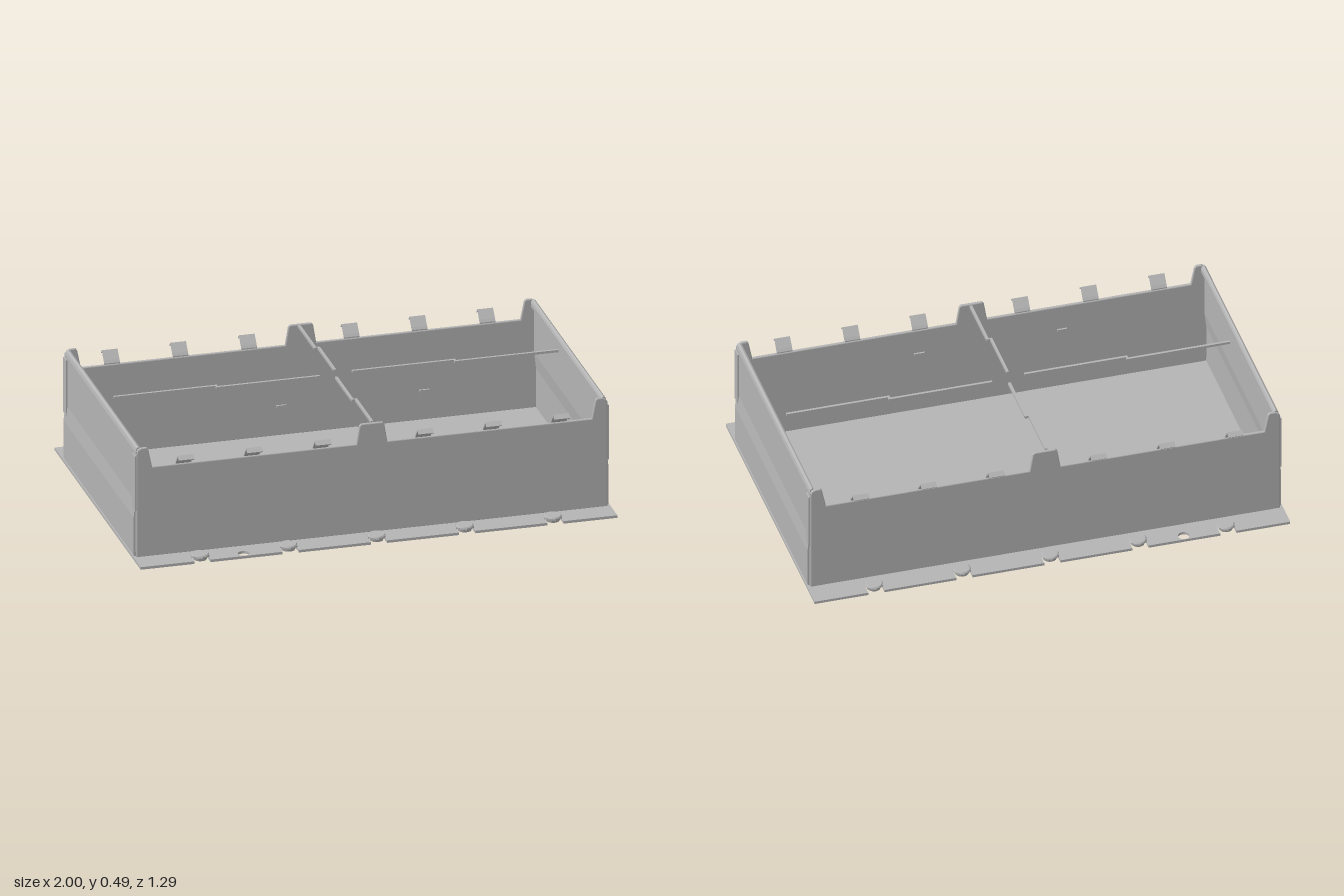
import * as THREE from 'three';

export function createModel() {
  const model = new THREE.Group();
  const metal = new THREE.MeshStandardMaterial({ color: 0xb4b4b4, side: THREE.DoubleSide, flatShading: true });
  metal.name = 'sheetMetalGrey';

  function add(name, geometry, x = 0, y = 0, z = 0) {
    const mesh = new THREE.Mesh(geometry, metal);
    mesh.name = name;
    mesh.position.set(x, y, z);
    model.add(mesh);
    return mesh;
  }
  const box = (name, w, h, d, x, y, z) => add(name, new THREE.BoxGeometry(w, h, d), x, y, z);
  const polygon = (points) => new THREE.Shape(points.map(([x, y]) => new THREE.Vector2(x, y)));
  const boltXs = [-0.74, -0.37, 0, 0.37, 0.74];
  const clipXs = [-0.79, -0.503, -0.215, 0.215, 0.5, 0.785];

  // Base plate with flanges, keyhole notches around the bolts and two round holes
  const r = 0.034, edge = 0.645, boltZ = 0.605;
  const base = new THREE.Shape();
  base.moveTo(-1, -edge);
  for (const x of boltXs) {
    base.lineTo(x - r, -edge);
    base.absarc(x, -boltZ, r, Math.PI, 0, true);
    base.lineTo(x + r, -edge);
  }
  base.lineTo(1, -edge);
  base.lineTo(1, edge);
  for (const x of [...boltXs].reverse()) {
    base.lineTo(x + r, edge);
    base.absarc(x, boltZ, r, 0, Math.PI, true);
    base.lineTo(x - r, edge);
  }
  base.lineTo(-1, edge);
  for (const s of [-1, 1]) {
    base.holes.push(new THREE.Path().absarc(-0.56, s * 0.618, 0.024, 0, Math.PI * 2, true));
  }
  const baseGeometry = new THREE.ExtrudeGeometry(base, { depth: 0.011, bevelEnabled: false, curveSegments: 12 });
  baseGeometry.rotateX(Math.PI / 2).translate(0, 0.011, 0);
  add('basePlate', baseGeometry);

  // Long walls: low rim with a raised centre tab and rounded corner tabs
  const half = [[0.065, 0.4], [0.922, 0.4], [0.938, 0.478], [0.945, 0.486], [0.968, 0.486],
    [0.982, 0.478], [0.988, 0.46], [0.988, 0.008]];
  const centre = [[0.052, 0.478], [0.045, 0.486]];
  const rightSide = [...centre.slice().reverse(), ...half];
  const mirrored = rightSide.map(([x, y]) => [-x, y]).reverse();
  const wallShape = polygon([...rightSide, ...mirrored]);
  for (const s of [-1, 1]) {
    const wall = new THREE.ExtrudeGeometry(wallShape, {
      depth: 0.006, bevelThickness: 0.004, bevelSize: 0.004, bevelOffset: -0.004, bevelSegments: 2,
    });
    wall.translate(0, 0, s * 0.533 - 0.003);
    add(s > 0 ? 'frontWall' : 'backWall', wall);
  }

  // End walls: stepped sheet with a rolled upper lip
  const endProfile = polygon([
    [0.996, 0.014], [0.996, 0.18], [0.988, 0.25], [0.988, 0.465], [0.984, 0.48], [0.976, 0.486],
    [0.968, 0.482], [0.964, 0.472], [0.964, 0.455], [0.97, 0.455], [0.978, 0.465],
    [0.978, 0.25], [0.986, 0.18], [0.986, 0.005],
  ]);
  for (const s of [-1, 1]) {
    const end = new THREE.ExtrudeGeometry(endProfile, { depth: 1.05, bevelEnabled: false });
    end.translate(0, 0, -0.525);
    if (s < 0) end.rotateY(Math.PI);
    add(s > 0 ? 'leftEndWall' : 'rightEndWall', end);
    // Folded corners and the lapped flaps on the outside of the end wall
    for (const t of [-1, 1]) {
      box('cornerFold', 0.016, 0.44, 0.012, s * 0.98, 0.25, t * 0.53);
      box('cornerFlap', 0.006, 0.24, 0.042, s * 0.991, 0.332, t * 0.516);
    }
  }

  // Bolts on the flanges
  for (const s of [-1, 1]) {
    for (const x of boltXs) {
      add('boltShank', new THREE.CylinderGeometry(0.032, 0.028, 0.014, 16), x, 0.01, s * boltZ);
      add('boltHead', new THREE.CylinderGeometry(0.039, 0.039, 0.008, 6), x, 0.02, s * boltZ);
      add('boltCap', new THREE.CylinderGeometry(0.033, 0.037, 0.005, 16), x, 0.0255, s * boltZ);
    }
  }

  // Bent spring clips along the rims
  const clipProfile = polygon([[0.53, 0.395], [0.542, 0.41], [0.568, 0.442], [0.582, 0.43],
    [0.585, 0.434], [0.568, 0.449], [0.538, 0.416], [0.53, 0.405]]);
  for (const s of [-1, 1]) {
    for (const x of clipXs) {
      const clip = new THREE.ExtrudeGeometry(clipProfile, { depth: 0.065, bevelEnabled: false });
      clip.translate(0, 0, -0.0325).rotateY(-s * Math.PI / 2);
      add('rimClip', clip, x, 0, 0);
    }
  }

  // Thin divider strips, each jogged sideways at its middle
  const barY = 0.481, t = 0.011;
  for (const start of [-0.93, 0.07]) {
    box('longDivider', 0.43, 0.01, t, start + 0.215, barY, -0.01);
    box('longDivider', 0.43, 0.01, t, start + 0.645, barY, 0.005);
    box('dividerJog', 0.008, 0.01, 0.024, start + 0.43, barY, -0.003);
  }
  for (const start of [-0.522, 0.035]) {
    const first = 0.242;
    box('crossDivider', t, 0.01, first, -0.009, barY, start + first / 2);
    box('crossDivider', t, 0.01, first, 0.006, barY, start + first * 1.5);
    box('dividerJog', 0.024, 0.01, 0.008, -0.002, barY, start + first);
  }

  // Small marker strips
  for (const x of [-0.303, 0.297]) box('markerStrip', 0.042, 0.01, 0.008, x, barY, 0.26);

  return model;
}
